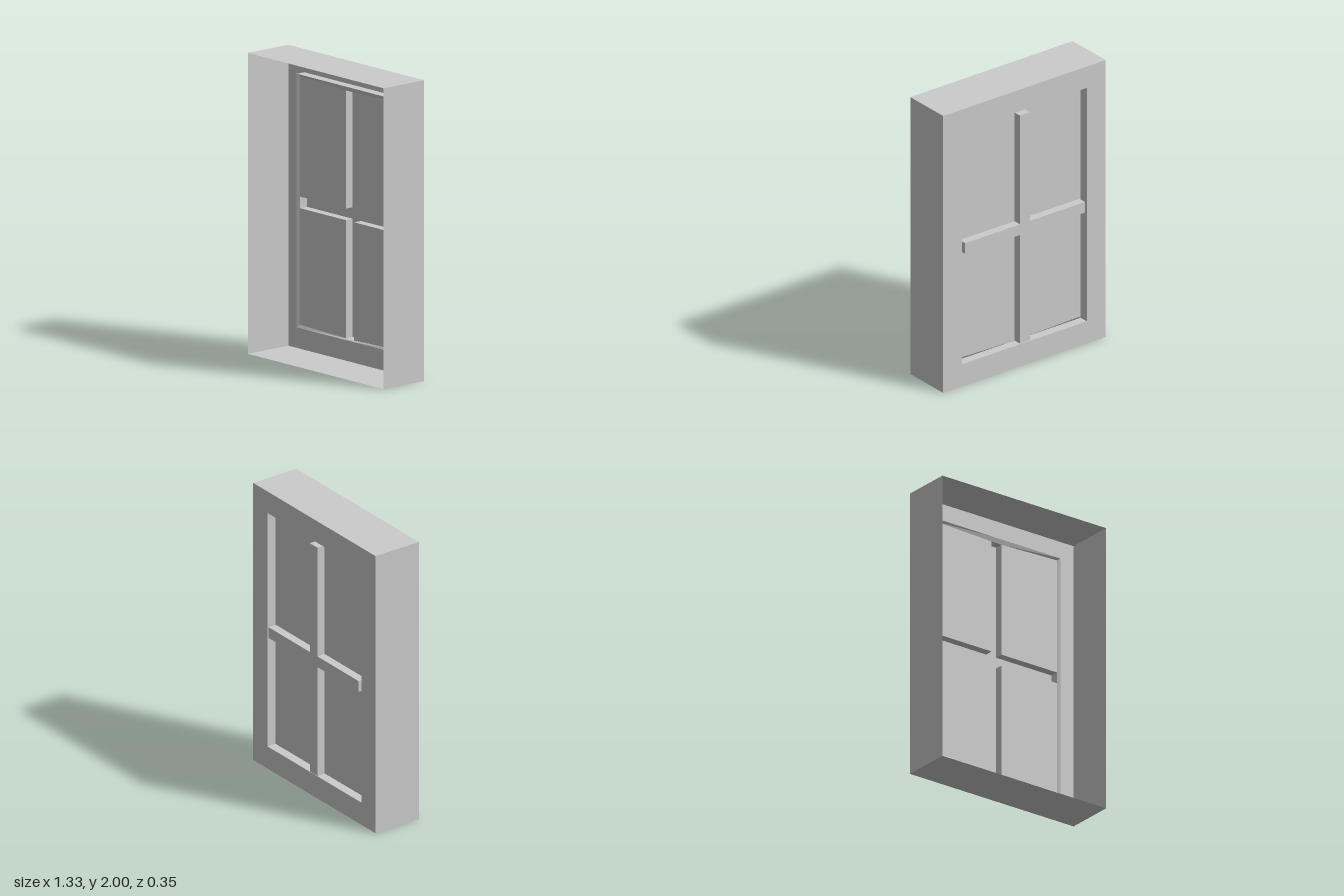
import * as THREE from 'three';

const material = new THREE.MeshStandardMaterial({ color: 0xcccccc, flatShading: true, side: THREE.DoubleSide });

// Depths, from the open front to the glazing bars at the back
const FRONT = 0.177, RIM = -0.106, PANE = -0.118, BACK = -0.171, BAR = -0.177;

const rect = (x, y0, y1) => [[-x, y0], [x, y0], [x, y1], [-x, y1]];

// Walls joining two outlines with the same number of points
function walls(a, za, b, zb) {
  const positions = [];
  a.forEach((p, i) => {
    const j = (i + 1) % a.length;
    const q = [[...p, za], [...a[j], za], [...b[j], zb], [...b[i], zb]];
    for (const k of [0, 1, 2, 0, 2, 3]) positions.push(...q[k]);
  });
  const g = new THREE.BufferGeometry();
  g.setAttribute('position', new THREE.Float32BufferAttribute(positions, 3));
  g.computeVertexNormals();
  return g;
}

// Flat sheet with an optional hole
function sheet(outline, z, hole) {
  const toVectors = (pts) => pts.map(([x, y]) => new THREE.Vector2(x, y));
  const shape = new THREE.Shape(toVectors(outline));
  if (hole) shape.holes.push(new THREE.Path(toVectors(hole)));
  return new THREE.ShapeGeometry(shape).translate(0, 0, z);
}

export function createModel() {
  const model = new THREE.Group();
  const add = (name, geometry) => {
    const mesh = new THREE.Mesh(geometry, material);
    mesh.name = name;
    model.add(mesh);
  };

  const outer = rect(0.665, 0, 2);
  const opening = rect(0.51, 0.16, 1.845);
  const w = 0.041, px = 0.49;             // bar half width, pane half width
  const barLow = 0.953, barHigh = 1.03;   // crossbar edges
  const bottom = 0.168, top = 1.815;      // upright bar ends
  const cornerLow = 0.178, cornerHigh = 1.83;

  // Thin casing, open at the front, with a window opening in its back
  add('casingWalls', walls(outer, FRONT, outer, BACK));
  add('backFrame', sheet(outer, BACK, opening));
  add('openingReveal', walls(opening, BACK, opening, RIM));

  // Bevel from the reveal to the slightly bowed pane edge
  const rim = [[-0.51, 0.16], [-w, 0.16], [w, 0.16], [0.51, 0.16],
    [0.51, 1.845], [w, 1.845], [-w, 1.845], [-0.51, 1.845]];
  const paneEdge = [[-px, cornerLow], [-w, bottom], [w, bottom], [px, cornerLow],
    [px, cornerHigh], [w, top], [-w, top], [-px, cornerHigh]];
  add('paneBevel', walls(rim, RIM, paneEdge, PANE));

  // Four panes
  for (const s of [-1, 1]) {
    const side = s < 0 ? 'right' : 'left';
    add(side + 'LowerPane', sheet([[s * w, bottom], [s * px, cornerLow], [s * px, barLow], [s * w, barLow]], PANE));
    add(side + 'UpperPane', sheet([[s * w, barHigh], [s * px, barHigh], [s * px, cornerHigh], [s * w, top]], PANE));
  }

  // Cross of hollow glazing bars, open towards the front
  const cross = [[-w, bottom], [w, bottom], [w, barLow], [px, barLow], [px, barHigh], [w, barHigh],
    [w, top], [-w, top], [-w, barHigh], [-px, barHigh], [-px, barLow], [-w, barLow]];
  add('glazingBarSides', walls(cross, PANE, cross, BAR));
  add('glazingBarBack', sheet(cross, BAR));

  return model;
}
